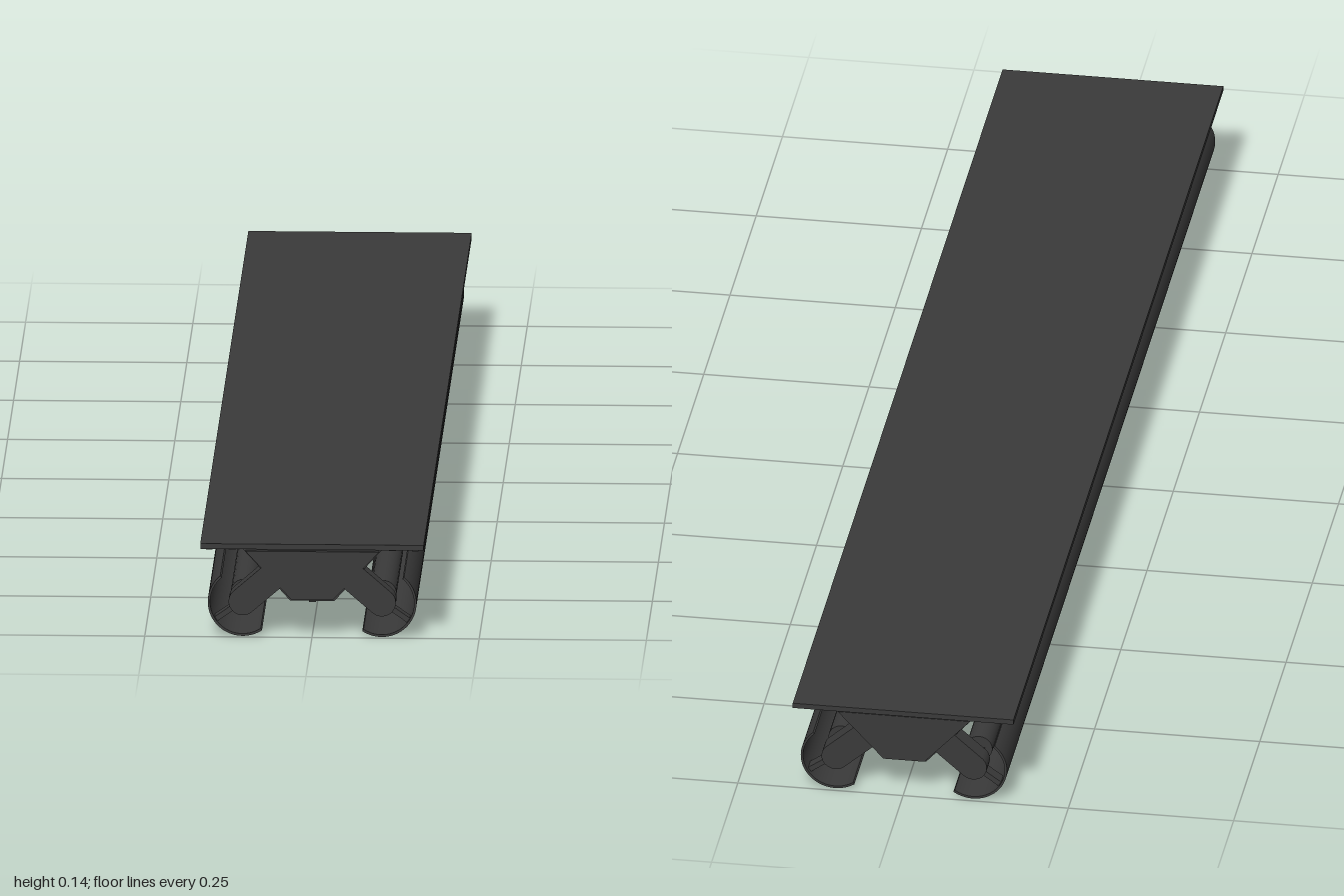
import * as THREE from 'three';

const dark = new THREE.MeshStandardMaterial({ color: 0x3a3a3a, side: THREE.DoubleSide });
const LAMP = { x: 0.104, y: 0.052 };

function add(parent, name, geometry, x = 0, y = 0, z = 0) {
  const mesh = new THREE.Mesh(geometry, dark);
  mesh.name = name;
  mesh.position.set(x, y, z);
  parent.add(mesh);
  return mesh;
}

// Extrudes a shape along z, centred on z = 0
function prism(shape, length, curveSegments = 24) {
  return new THREE.ExtrudeGeometry(shape, { depth: length, bevelEnabled: false, curveSegments })
    .translate(0, 0, -length / 2);
}

function trapezoid(top, bottom, yTop, yBottom) {
  return new THREE.Shape([[-bottom, yBottom], [bottom, yBottom], [top, yTop], [-top, yTop]]
    .map(([x, y]) => new THREE.Vector2(x, y)));
}

// Lamp holder: a bar with one round end, running from the origin along +y
function holderShape(radius, length) {
  const s = new THREE.Shape();
  s.moveTo(radius, 0);
  s.lineTo(radius, length);
  s.lineTo(-radius, length);
  s.lineTo(-radius, 0);
  s.absarc(0, 0, radius, Math.PI, Math.PI * 2, false);
  return s;
}

// Thin curved shield, open towards the housing
function shieldShape(outer, inner, from, to) {
  const s = new THREE.Shape();
  s.absarc(0, 0, outer, from, to, false);
  s.absarc(0, 0, inner, to, from, true);
  return s;
}

function lampSide(side) {
  const g = new THREE.Group();
  g.name = side > 0 ? 'leftLamp' : 'rightLamp';
  const x = side * LAMP.x;

  // Lamp tube
  add(g, 'tube', new THREE.CylinderGeometry(0.02, 0.02, 1.86, 24).rotateX(Math.PI / 2), x, LAMP.y);

  // Curved shield
  const rad = THREE.MathUtils.degToRad;
  const [a, b] = side > 0 ? [-124, 50] : [130, 304];
  add(g, 'shield', prism(shieldShape(0.052, 0.0485, rad(a), rad(b)), 1.985, 40), x, LAMP.y);

  for (const end of [1, -1]) {
    // Holder leaning into the housing
    const holder = add(g, 'lampHolder', prism(holderShape(0.021, 0.075), 0.03), x, LAMP.y, end * 0.975);
    holder.rotation.z = side * rad(49);

    // Strut from holder to shield
    const strut = add(g, 'shieldStrut', new THREE.BoxGeometry(0.034, 0.008, 0.02),
      x + side * 0.0285, LAMP.y - 0.02, end * 0.975);
    strut.rotation.z = side * rad(-35);

    // Contact pins
    for (const dx of [-0.007, 0.007]) {
      add(g, 'pin', new THREE.CylinderGeometry(0.002, 0.002, 0.04, 8).rotateX(Math.PI / 2),
        x + dx, LAMP.y, end * 0.945);
    }
  }

  // Narrow rails under the mounting plate
  for (const rx of [0.12, 0.154]) {
    add(g, 'plateRail', new THREE.BoxGeometry(0.01, 0.004, 1.98), side * rx, 0.1335);
  }
  return g;
}

export function createModel() {
  const model = new THREE.Group();
  model.name = 'twinTubeLight';

  // Mounting plate
  add(model, 'mountingPlate', new THREE.BoxGeometry(0.334, 0.008, 2), 0, 0.139);

  // Tapered housing with slightly smaller end caps
  add(model, 'housing', prism(trapezoid(0.107, 0.033, 0.135, 0.053), 1.97));
  for (const end of [1, -1]) {
    add(model, 'endCap', prism(trapezoid(0.1, 0.031, 0.13, 0.056), 0.008), 0, 0, end * 0.988);
  }

  // Raised seam under the housing
  add(model, 'bottomSeam', new THREE.BoxGeometry(0.01, 0.004, 1.96), 0, 0.052);

  model.add(lampSide(1), lampSide(-1));
  return model;
}
